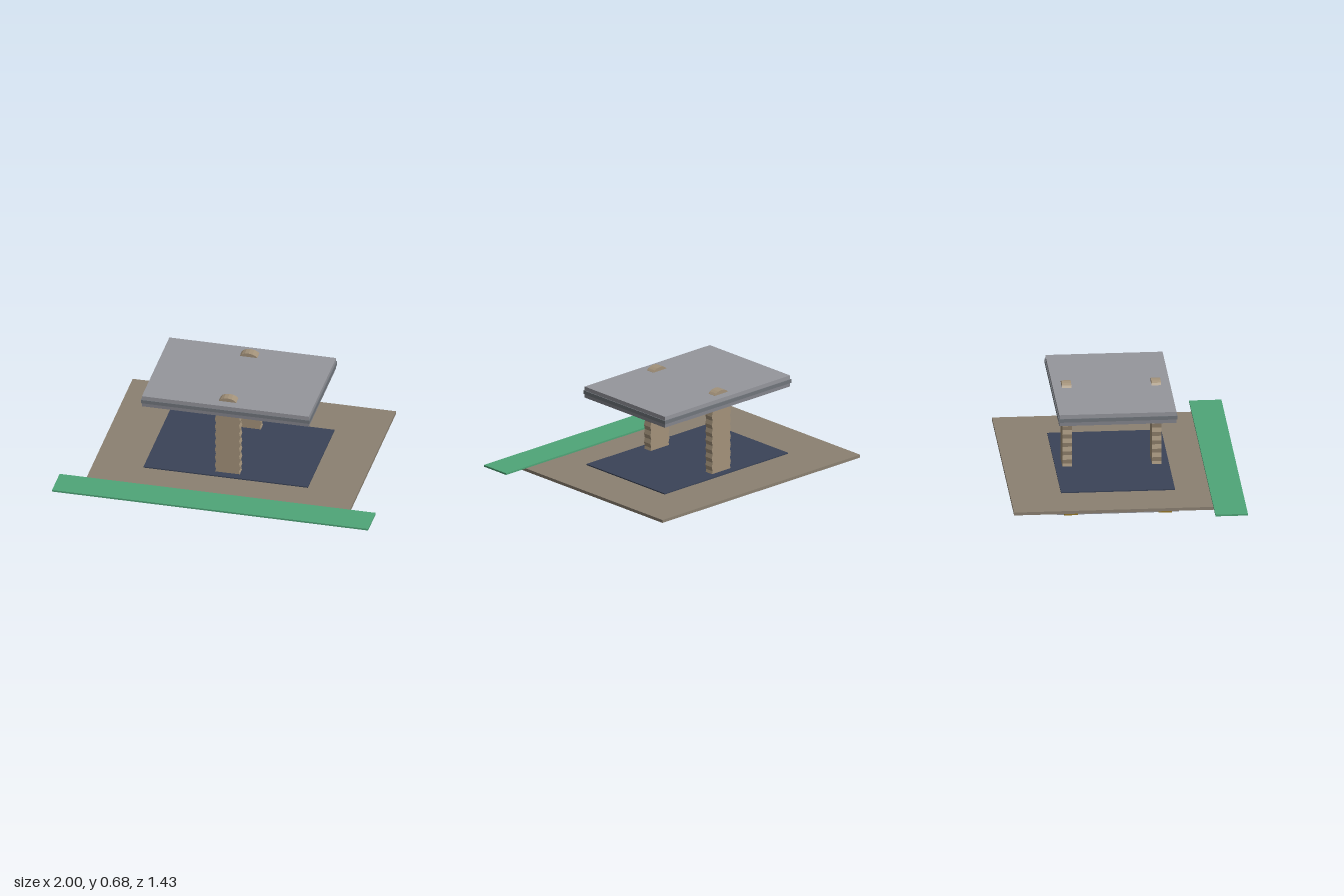
import * as THREE from 'three';

const mat = (color) => new THREE.MeshStandardMaterial({ color, flatShading: true });

export function createModel() {
  const model = new THREE.Group();
  model.name = 'layeredPressAssembly';

  const wood = mat(0xa3927a), board = mat(0x8c8172), gold = mat(0x967828);
  const green = mat(0x4fa578), navy = mat(0x3a4358);
  const light = mat(0x95969c), mid = mat(0x83848c), dark = mat(0x70757b);

  // box given by half width and its y and z ranges
  const slab = (name, material, halfX, y0, y1, z0, z1) => {
    const mesh = new THREE.Mesh(new THREE.BoxGeometry(halfX * 2, y1 - y0, z1 - z0), material);
    mesh.position.set(0, (y0 + y1) / 2, (z0 + z1) / 2);
    mesh.name = name;
    model.add(mesh);
  };

  // stepped base block with two cross bars
  slab('baseLower', light, 0.541, 0.0015, 0.06, -0.425, 0.328);
  slab('baseUpper', mid, 0.525, 0.06, 0.1, -0.408, 0.312);
  slab('frontCrossBar', gold, 0.548, 0, 0.117, 0.2, 0.284);
  slab('backCrossBar', gold, 0.548, 0, 0.117, -0.382, -0.298);

  // wide board, dark sheet and front strip
  slab('board', board, 0.833, 0.117, 0.136, -0.715, 0.616);
  slab('darkSheet', navy, 0.52, 0.136, 0.143, -0.4, 0.304);
  slab('frontStrip', green, 1, 0.136, 0.147, 0.515, 0.715);

  // raised three-layer plate
  slab('plateBottom', mid, 0.528, 0.58, 0.604, -0.411, 0.313);
  slab('plateMiddle', dark, 0.533, 0.604, 0.627, -0.416, 0.318);
  slab('plateTop', light, 0.528, 0.627, 0.652, -0.411, 0.313);

  // flat posts with rippled edges and a rounded tip
  const side = [];
  for (let i = 0; i <= 16; i++) {
    side.push([i % 2 ? 0.073 : 0.08, 0.134 + i * 0.0275]);
  }
  side.push([0.066, 0.635], [0.054, 0.654], [0.043, 0.664], [0.024, 0.673], [0, 0.676]);
  const outline = side.map(([x, y]) => new THREE.Vector2(x, y));
  for (const [x, y] of side.slice(0, -1).reverse()) outline.push(new THREE.Vector2(-x, y));
  const postGeometry = new THREE.ExtrudeGeometry(new THREE.Shape(outline), {
    depth: 0.058, bevelEnabled: false,
  });
  for (const [name, z] of [['frontPost', 0.198], ['backPost', -0.355]]) {
    const post = new THREE.Mesh(postGeometry, wood);
    post.position.z = z;
    post.name = name;
    model.add(post);
  }

  return model;
}
